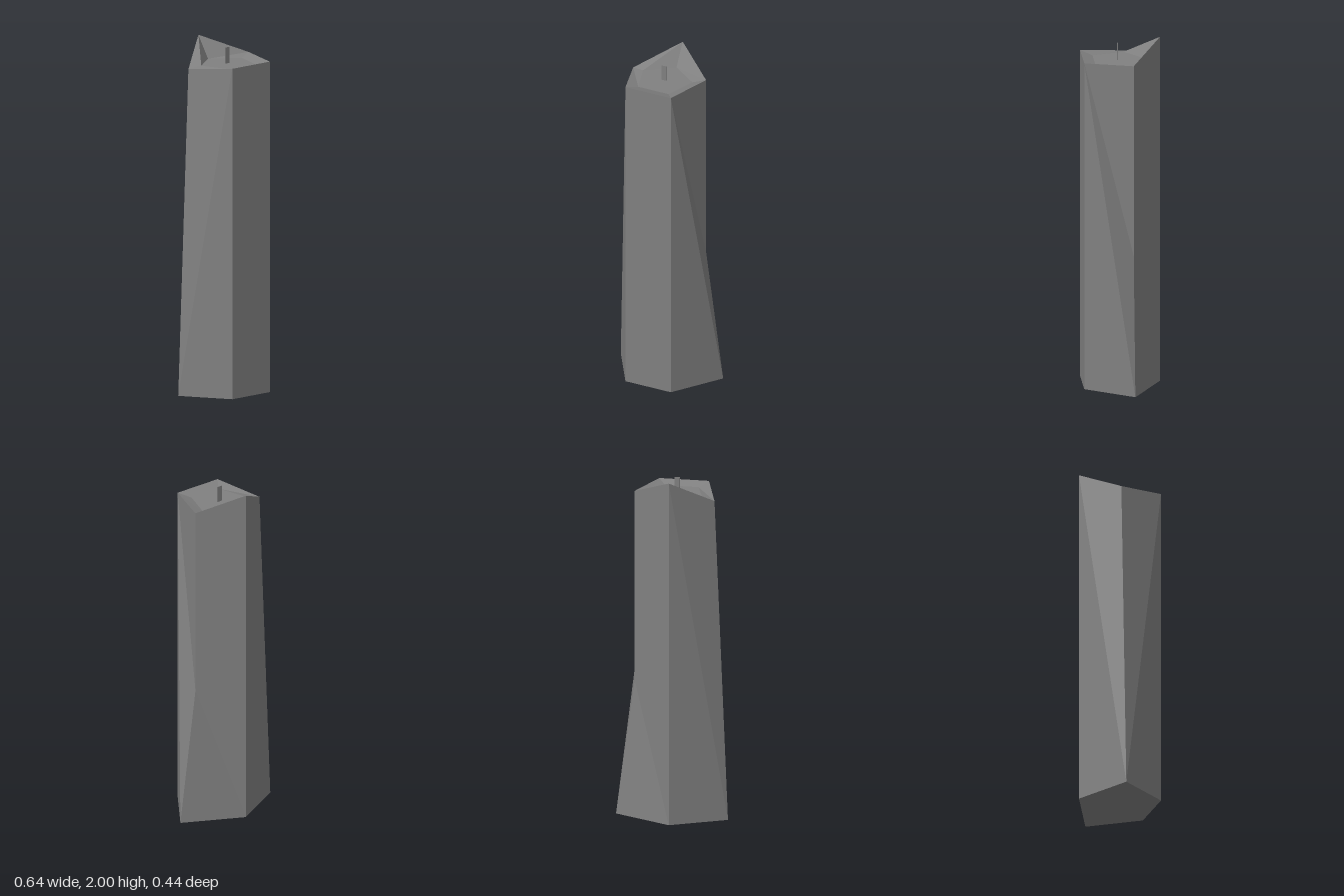
import * as THREE from 'three';

// Flat-shaded mesh from triangles and quads given as corner lists
function facetMesh(name, polygons, material) {
  const points = [];
  for (const poly of polygons) {
    for (let i = 1; i < poly.length - 1; i++) points.push(...poly[0], ...poly[i], ...poly[i + 1]);
  }
  const geometry = new THREE.BufferGeometry();
  geometry.setAttribute('position', new THREE.Float32BufferAttribute(points, 3));
  geometry.computeVertexNormals();
  const mesh = new THREE.Mesh(geometry, material);
  mesh.name = name;
  return mesh;
}

export function createModel() {
  const wax = new THREE.MeshStandardMaterial({ color: 0x808080 });
  wax.name = 'greyWax';
  const group = new THREE.Group();
  group.name = 'candle';

  // Pentagon rings, counterclockwise from above: back, left edge, two front corners, right edge
  const base = [[-0.015, 0, -0.22], [-0.32, 0, -0.053], [-0.157, 0, 0.218], [0.127, 0, 0.218], [0.32, 0, -0.053]];
  const rim = [[-0.015, 2, -0.22], [-0.243, 1.862, -0.053], [-0.157, 1.895, 0.218], [0.127, 1.895, 0.218], [0.213, 1.895, -0.053]];
  const floor = [[-0.015, -0.14], [-0.168, -0.028], [-0.11, 0.152], [0.08, 0.152], [0.14, -0.028]]
    .map(([x, z]) => [x, 1.875, z]);
  const kink = [0.213, 0.79, -0.053]; // where the flared foot leaves the upright edge

  // Body walls
  group.add(facetMesh('candleBody', [
    [base[0], base[1], rim[0]], [base[1], rim[1], rim[0]],
    [base[1], base[2], rim[2], rim[1]],
    [base[2], base[3], rim[3], rim[2]],
    [base[3], base[4], rim[3]], [rim[3], base[4], kink], [rim[3], kink, rim[4]],
    [base[4], base[0], kink], [kink, base[0], rim[0]], [kink, rim[0], rim[4]],
  ], wax));
  group.add(facetMesh('candleBottom', [[...base].reverse()], wax));

  // Sloping rim and sunken top
  const slopes = rim.map((corner, i) => {
    const j = (i + 1) % 5;
    return [corner, rim[j], floor[j], floor[i]];
  });
  group.add(facetMesh('meltedRim', slopes, wax));
  group.add(facetMesh('candleTop', [floor], wax));

  // Thin flat wick
  const wick = new THREE.Mesh(new THREE.BoxGeometry(0.03, 0.095, 0.004), wax);
  wick.name = 'wick';
  wick.position.set(-0.015, 1.92, 0.02);
  group.add(wick);

  return group;
}
